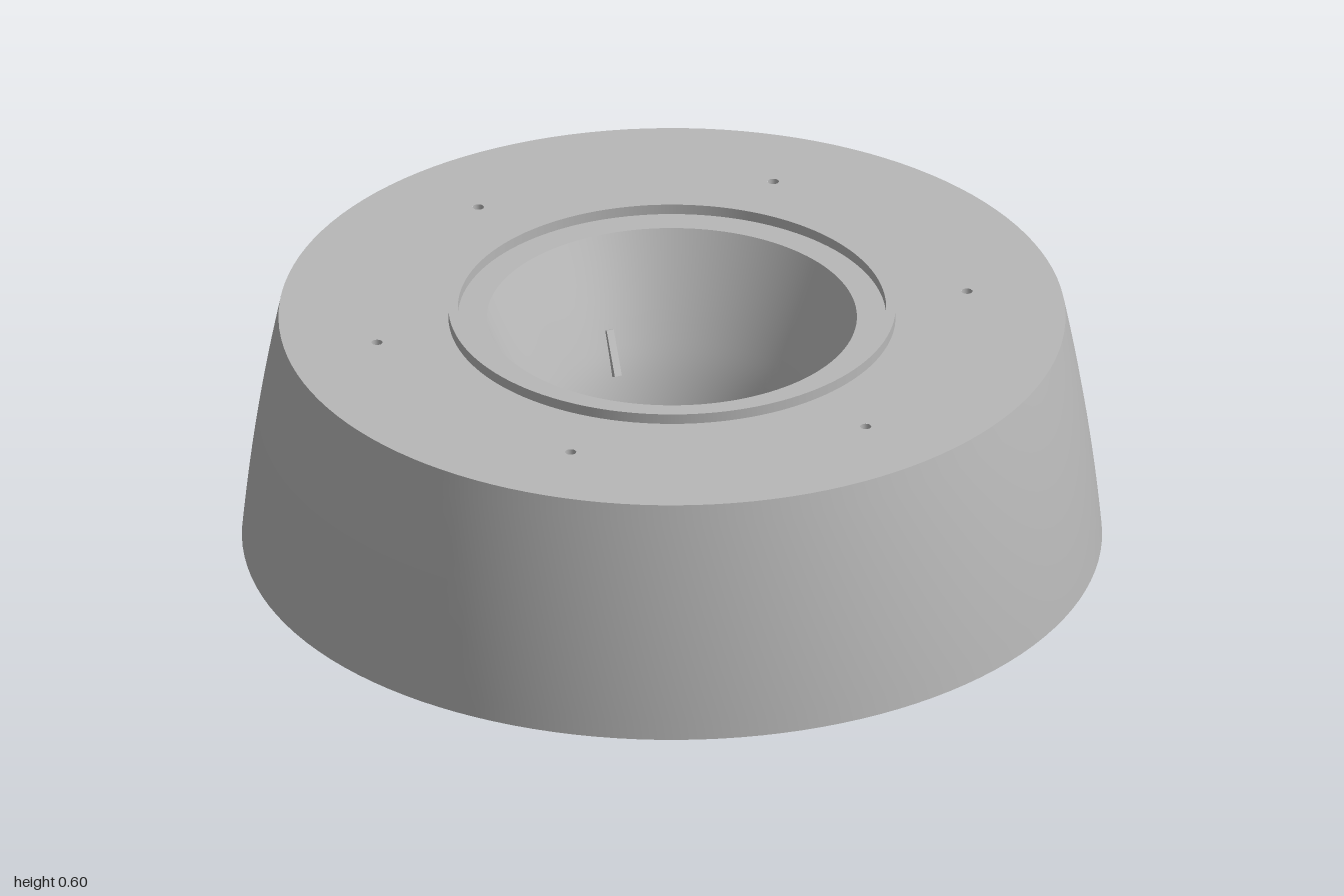
import * as THREE from 'three';

const SEG = 128;
const TOP = 0.575;

export function createModel() {
  const group = new THREE.Group();
  group.name = 'taperedRingHousing';
  const grey = new THREE.MeshStandardMaterial({ color: 0xb8b8b8 });

  const add = (name, geometry, parent = group) => {
    const mesh = new THREE.Mesh(geometry, grey);
    mesh.name = name;
    parent.add(mesh);
    return mesh;
  };

  // One smooth turned surface
  const turned = (name, pts, parent = group, seg = SEG) =>
    add(name, new THREE.LatheGeometry(pts.map(([r, y]) => new THREE.Vector2(r, y)), seg), parent);

  // Turned profile with a sharp edge at every point
  const stepped = (name, pts, parent = group, seg = SEG) => {
    const part = new THREE.Group();
    part.name = name;
    parent.add(part);
    for (let i = 0; i < pts.length - 1; i++) turned(name + 'Face' + (i + 1), [pts[i], pts[i + 1]], part, seg);
    return part;
  };

  // Flat ring pierced by small round holes, each lined by a blind cup
  const piercedFace = (name, outer, inner, y, up, holes) => {
    const shape = new THREE.Shape().absarc(0, 0, outer, 0, Math.PI * 2, false);
    shape.holes.push(new THREE.Path().absarc(0, 0, inner, 0, Math.PI * 2, true));
    for (const h of holes) {
      const x = Math.cos(h.angle) * h.at, z = Math.sin(h.angle) * h.at;
      const path = new THREE.Path();
      path.absarc(x, up ? -z : z, h.r, 0, Math.PI * 2, true);
      shape.holes.push(path);
      const cup = stepped(name + 'Hole', [[h.r, 0], [h.r, -0.06], [0, -0.06]], group, 20);
      cup.position.set(x, y, z);
      if (!up) cup.rotation.x = Math.PI;
    }
    const geometry = new THREE.ShapeGeometry(shape, SEG / 2);
    geometry.rotateX(up ? -Math.PI / 2 : Math.PI / 2);
    add(name, geometry).position.y = y;
  };

  const sixHoles = (at, r) =>
    Array.from({ length: 6 }, (_, i) => ({ angle: i * Math.PI / 3, at, r }));

  // Gently bowed outer wall
  const wall = [];
  for (let i = 0; i <= 12; i++) {
    const t = i / 12;
    wall.push([1 - 0.085 * (0.6 * t + 0.4 * t * t), TOP * t]);
  }
  turned('outerWall', wall);

  // Top face with a raised rim around the bore
  piercedFace('topFace', 0.915, 0.43, TOP, true, sixHoles(0.697, 0.013));
  stepped('topRim', [[0.52, TOP], [0.52, 0.6], [0.498, 0.6], [0.498, TOP]]);

  // Funnel-shaped bore, wide at the top
  const bore = new THREE.SplineCurve([
    [0.43, TOP], [0.347, 0.375], [0.302, 0.25], [0.276, 0.12], [0.268, 0],
  ].map(([r, y]) => new THREE.Vector2(r, y)));
  turned('bore', bore.getPoints(24).map((p) => [p.x, p.y]));

  // Underside: inner lip, wide groove, land, narrow groove
  stepped('undersideGrooves', [
    [0.268, 0], [0.313, 0], [0.313, 0.03], [0.374, 0.03], [0.374, 0],
    [0.44, 0], [0.44, 0.025], [0.464, 0.025], [0.464, 0],
  ]);
  piercedFace('bottomFace', 1, 0.464, 0, false, [
    ...sixHoles(0.728, 0.013),
    { angle: -Math.PI / 4, at: 0.494, r: 0.013 },
  ]);

  // Three slim keys lying along the bore wall
  for (let i = 0; i < 3; i++) {
    const pivot = new THREE.Group();
    pivot.name = 'boreKey';
    pivot.rotation.y = -(75 + 120 * i) * Math.PI / 180;
    const key = add('key', new THREE.BoxGeometry(0.016, 0.11, 0.018), pivot);
    key.position.set(0.322, 0.32, 0);
    key.rotation.z = -0.42;
    group.add(pivot);
  }
  return group;
}
